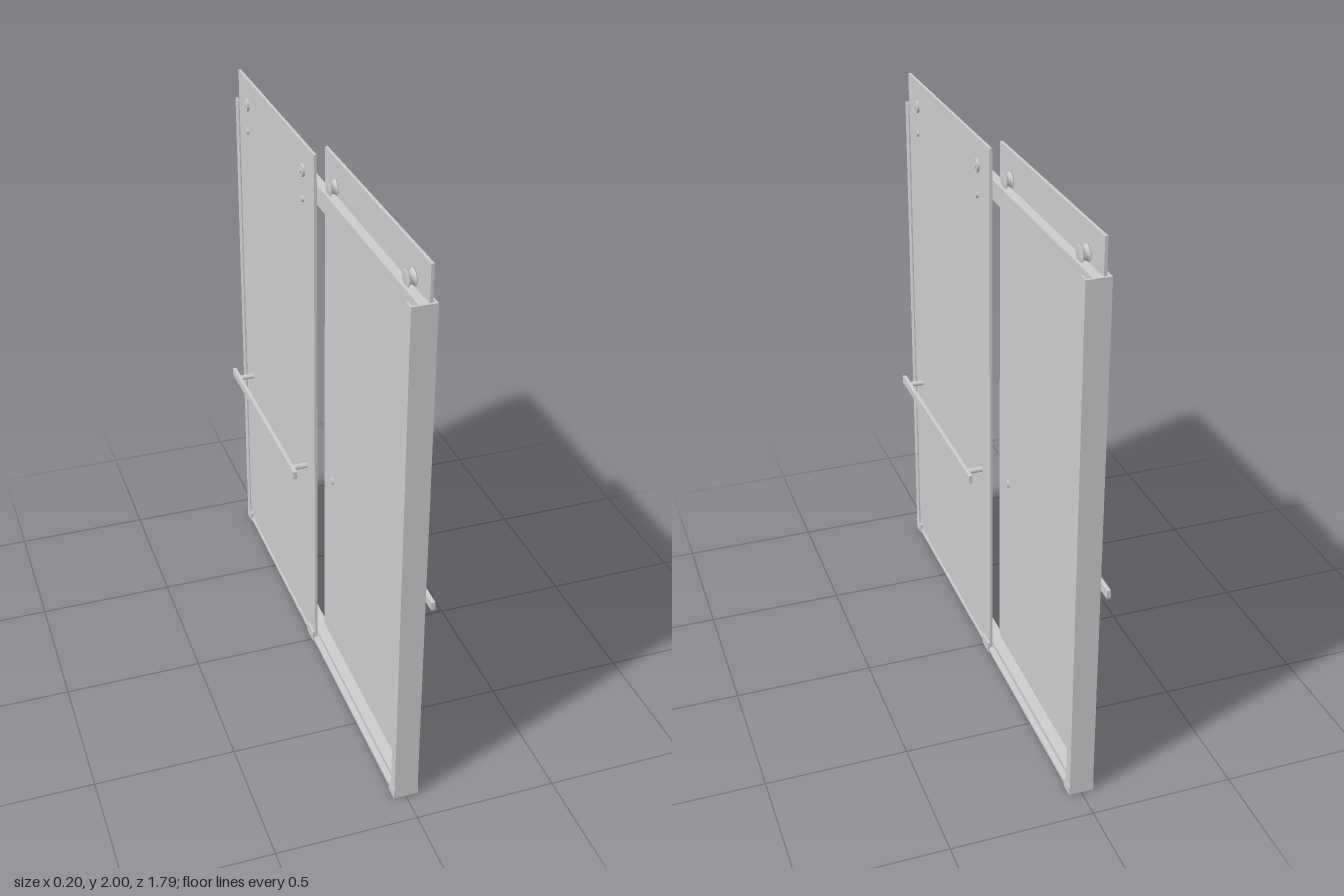
import * as THREE from 'three';

const mat = new THREE.MeshStandardMaterial({ color: 0xcccccc });

function add(parent, name, geo) {
  const mesh = new THREE.Mesh(geo, mat);
  mesh.name = name;
  parent.add(mesh);
  return mesh;
}

// Box given by its limits on each axis
function box(parent, name, [x0, x1], [y0, y1], [z0, z1]) {
  const mesh = add(parent, name, new THREE.BoxGeometry(x1 - x0, y1 - y0, z1 - z0));
  mesh.position.set((x0 + x1) / 2, (y0 + y1) / 2, (z0 + z1) / 2);
  return mesh;
}

// Round pin lying along x
function pin(parent, name, r, [x0, x1], y, z) {
  const mesh = add(parent, name, new THREE.CylinderGeometry(r, r, x1 - x0, 24).rotateZ(-Math.PI / 2));
  mesh.position.set((x0 + x1) / 2, y, z);
  return mesh;
}

// Wall jamb: E-shaped channel, open towards the doorway
function wallJamb() {
  const jamb = new THREE.Group();
  jamb.name = 'wallJamb';
  const web = 0.886, back = 0.894, lip = 0.857;
  const outline = [
    [-0.042, back], [0.042, back], [0.042, lip], [0.037, lip], [0.037, web],
    [0.016, web], [0.016, 0.862], [-0.016, 0.862], [-0.016, web],
    [-0.037, web], [-0.037, lip], [-0.042, lip],
  ];
  const shape = new THREE.Shape(outline.map(([x, z]) => new THREE.Vector2(x, -z)));
  const geo = new THREE.ExtrudeGeometry(shape, { depth: 1.88, bevelEnabled: false });
  add(jamb, 'jambChannel', geo.rotateX(-Math.PI / 2).translate(0, 0.006, 0));
  // Foot bracket and rubber stops
  box(jamb, 'footBracket', [-0.044, 0.044], [0, 0.036], [0.84, 0.893]);
  for (const y of [0.1, 0.78, 1.75])
    for (const x of [-0.026, 0.026])
      box(jamb, 'bumper', [x - 0.006, x + 0.006], [y - 0.02, y + 0.02], [0.872, 0.887]);
  return jamb;
}

// Sliding panel on the +x side, with rollers, safety pins and towel bar
function slidingDoor(name, [z0, z1], rollers, barZ, posts) {
  const door = new THREE.Group();
  door.name = name;
  box(door, 'glassPanel', [0.024, 0.034], [0.016, 2], [z0, z1]);

  for (const z of rollers) {
    // Grooved wheel running on the header rail
    const profile = [[0, -0.013], [0.028, -0.013], [0.028, -0.009], [0.021, -0.006],
      [0.021, 0.006], [0.028, 0.009], [0.028, 0.013], [0, 0.013]];
    const wheel = add(door, 'rollerWheel', new THREE.LatheGeometry(
      profile.map(([r, h]) => new THREE.Vector2(r, h)), 32).rotateZ(-Math.PI / 2));
    wheel.geometry.computeVertexNormals();
    wheel.position.set(0.008, 1.907, z);
    pin(door, 'rollerAxle', 0.009, [0.01, 0.046], 1.905, z);
    pin(door, 'rollerCap', 0.023, [0.034, 0.043], 1.905, z);
    pin(door, 'safetyPin', 0.011, [0.008, 0.043], 1.803, z);
  }

  // Towel bar on two standoffs
  box(door, 'towelBar', [0.088, 0.102], [0.739, 0.769], barZ);
  for (const z of posts) {
    pin(door, 'barStandoff', 0.01, [0.034, 0.09], 0.754, z);
    pin(door, 'barBolt', 0.014, [0.016, 0.025], 0.754, z);
  }
  return door;
}

export function createModel() {
  const model = new THREE.Group();
  model.name = 'slidingShowerDoor';

  // Wall jambs at both ends
  for (const turn of [0, Math.PI]) {
    const jamb = wallJamb();
    jamb.rotation.y = turn;
    model.add(jamb);
  }

  // Header rail and bottom track
  box(model, 'headerRail', [-0.016, 0.016], [1.817, 1.885], [-0.862, 0.862]);
  box(model, 'trackBase', [-0.04, 0.04], [0.004, 0.014], [-0.86, 0.86]);
  box(model, 'trackRidge', [-0.02, 0.02], [0.013, 0.034], [-0.86, 0.86]);

  // Guide block holding the panels at the middle of the track
  const guide = new THREE.Group();
  guide.name = 'centreGuide';
  box(guide, 'guideBase', [-0.044, 0.044], [0, 0.012], [-0.055, 0.01]);
  for (const s of [-1, 1])
    box(guide, 'guideLip', [s * 0.04 - 0.004, s * 0.04 + 0.004], [0.01, 0.04], [-0.055, 0.01]);
  model.add(guide);

  // Two overlapping doors; the second is turned to face -x
  model.add(slidingDoor('outerDoor', [-0.05, 0.872], [0.07, 0.757], [-0.015, 0.835], [0.045, 0.778]));
  const inner = slidingDoor('innerDoor', [-0.01, 0.87], [0.105, 0.755], [0.03, 0.84], [0.085, 0.78]);
  inner.rotation.y = Math.PI;
  model.add(inner);

  return model;
}
